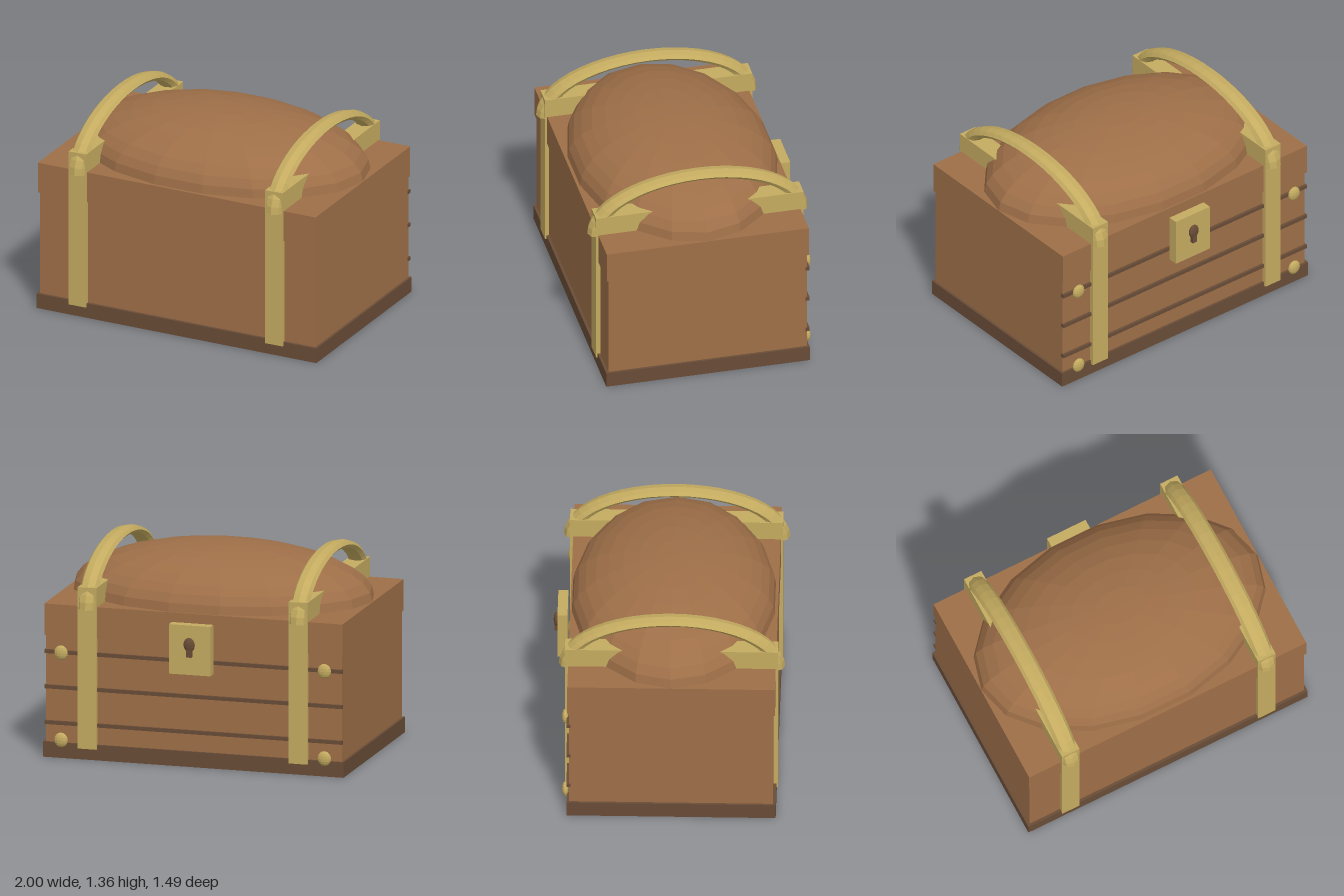
import * as THREE from 'three';

export function createModel() {
  const group = new THREE.Group();
  const material = (name, color) => {
    const m = new THREE.MeshStandardMaterial({ color });
    m.name = name;
    return m;
  };
  const wood = material('brown wood', 0x9e6f48);
  const darkWood = material('dark wood', 0x694c37);
  const brass = material('brass', 0xc4ab60);

  const add = (name, geometry, mat) => {
    const mesh = new THREE.Mesh(geometry, mat);
    mesh.name = name;
    group.add(mesh);
    return mesh;
  };
  // box given by its limits on each axis
  const box = (name, mat, [x0, x1], [y0, y1], [z0, z1]) =>
    add(name, new THREE.BoxGeometry(x1 - x0, y1 - y0, z1 - z0), mat)
      .position.set((x0 + x1) / 2, (y0 + y1) / 2, (z0 + z1) / 2);
  // faceted normals
  const faceted = (geometry) => {
    const flat = geometry.toNonIndexed();
    flat.computeVertexNormals();
    return flat;
  };
  const ellipsoid = (name, mat, x, y, z, rx, ry, rz) =>
    add(name, faceted(new THREE.SphereGeometry(1, 12, 8).scale(rx, ry, rz)), mat).position.set(x, y, z);

  // chest body
  box('base', darkWood, [-1, 1], [0, 0.1], [-0.64, 0.69]);
  box('body', wood, [-0.984, 0.984], [0.1, 0.8], [-0.625, 0.672]);
  box('lidRim', wood, [-0.992, 0.992], [0.795, 1], [-0.636, 0.685]);

  // domed lid
  const dome = new THREE.SphereGeometry(1, 18, 9, 0, Math.PI * 2, 0, Math.PI / 2).scale(0.99, 0.33, 0.655);
  add('lidDome', faceted(dome), wood).position.set(0, 1, 0.02);

  for (const side of [-1, 1]) {
    const x = side * 0.702;
    // strap band around the chest, running into the dome
    box('strap', brass, [x - 0.062, x + 0.062], [0.073, 1.128], [-0.656, 0.7]);

    // arched strap over the lid
    const arch = new THREE.TorusGeometry(0.925, 0.075, 8, 24, Math.PI)
      .rotateY(Math.PI / 2).scale(0.062 / 0.075, 0.37, 0.72);
    add('strapArch', faceted(arch), brass).position.set(x, 0.986, 0.024);
    for (const end of [-1, 1]) {
      const cap = new THREE.CircleGeometry(1, 8).rotateX(Math.PI / 2).scale(0.062, 1, 0.054);
      add('archEnd', cap, brass).position.set(x, 0.986, 0.024 + end * 0.666);
    }

    // studs on the back corners
    for (const y of [0.12, 0.69]) ellipsoid('stud', brass, side * 0.876, y, -0.651, 0.045, 0.048, 0.022);
  }

  // plank grooves across the back
  for (const y of [0.227, 0.46, 0.69]) {
    box('plankLine', darkWood, [-0.99, 0.99], [y - 0.012, y + 0.012], [-0.642, -0.615]);
  }

  // lock plate and keyhole
  box('lockPlate', brass, [-0.138, 0.138], [0.62, 0.943], [-0.718, -0.654]);
  ellipsoid('keyhole', darkWood, 0, 0.818, -0.727, 0.038, 0.047, 0.018);
  box('keyholeSlot', darkWood, [-0.018, 0.018], [0.738, 0.815], [-0.74, -0.71]);

  return group;
}
